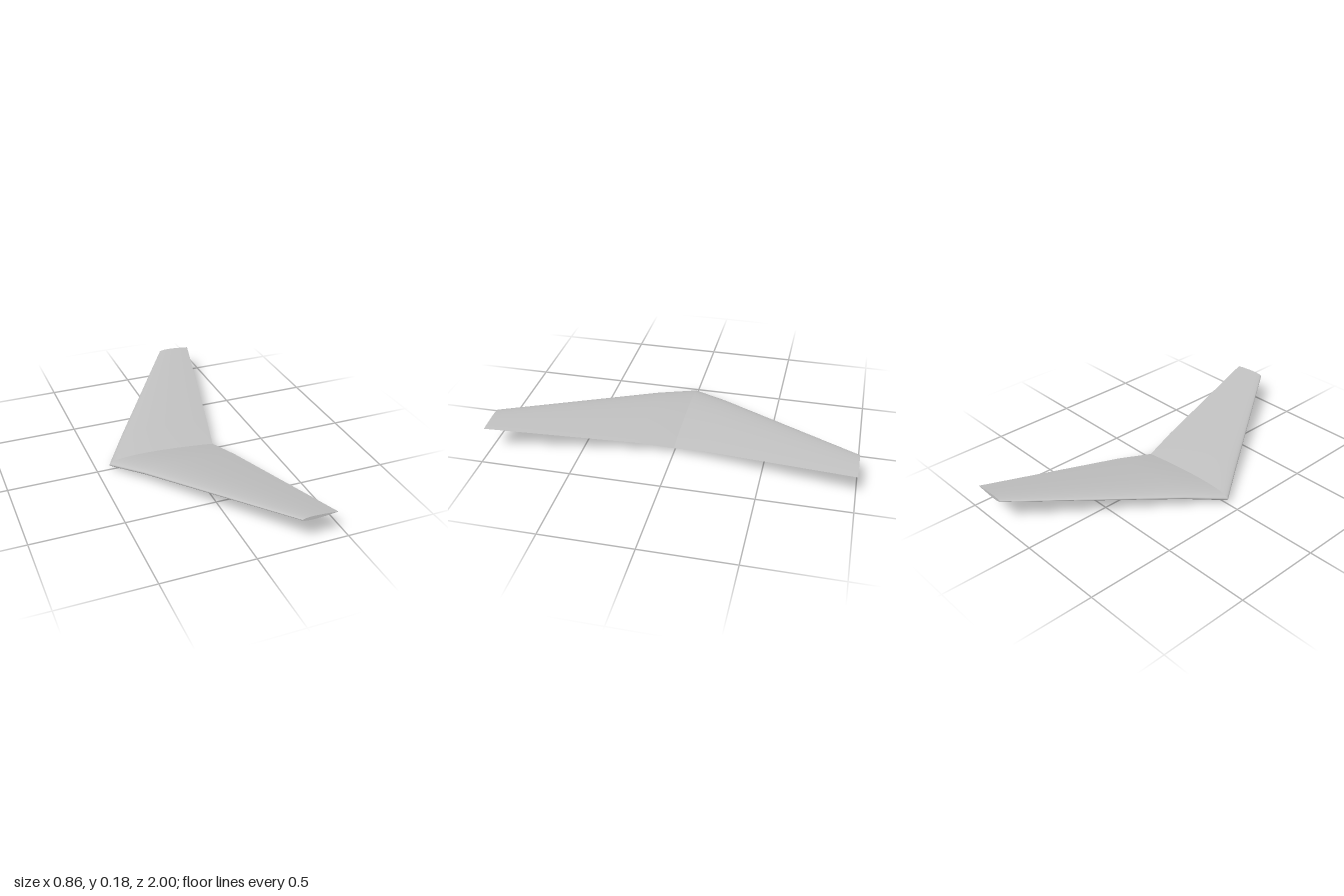
import * as THREE from 'three';

// Spanwise stations of one half: distance from the middle, leading and trailing edge x, mid-height
const STATIONS = [
  { z: 0, lead: -0.43, trail: 0.19, y: 0.031 },
  { z: 0.2, lead: -0.298, trail: 0.237, y: 0.068 },
  { z: 1, lead: 0.23, trail: 0.425, y: 0.167 },
];
const STEPS = 24; // points along each surface of the aerofoil

// Symmetric aerofoil, 10% thick: half-thickness at chord fraction t
const halfThickness = (t) =>
  0.5 * (0.2969 * Math.sqrt(t) - 0.126 * t - 0.3516 * t ** 2 + 0.2843 * t ** 3 - 0.1036 * t ** 4);

// Loop from the trailing edge over the top to the nose and back underneath
function section({ lead, trail, y }) {
  const chord = trail - lead;
  const points = [];
  for (let i = 0; i <= 2 * STEPS; i++) {
    const t = 0.5 + 0.5 * Math.cos((Math.PI * i) / STEPS);
    const side = i <= STEPS ? 1 : -1;
    points.push(new THREE.Vector2(lead + chord * t, y + side * chord * halfThickness(t)));
  }
  return points;
}

// Skin lofted through the stations of one half; sign picks the +z or -z half
function skinGeometry(sign) {
  const stations = sign > 0 ? STATIONS : [...STATIONS].reverse();
  const positions = [];
  const index = [];
  const row = 2 * STEPS + 1;
  stations.forEach((s, j) => {
    section(s).forEach((p, i) => {
      positions.push(p.x, p.y, sign * s.z);
      if (j > 0 && i > 0) {
        const b = j * row + i;
        const a = b - row;
        index.push(a - 1, a, b - 1, a, b, b - 1);
      }
    });
  });
  const geometry = new THREE.BufferGeometry();
  geometry.setAttribute('position', new THREE.Float32BufferAttribute(positions, 3));
  geometry.setIndex(index);
  geometry.computeVertexNormals();
  return geometry;
}

// Flat cap closing the wing tip
function tipGeometry(sign) {
  const tip = STATIONS[STATIONS.length - 1];
  const outline = section(tip).slice(0, -1).map((p) => new THREE.Vector2(sign * p.x, p.y));
  const geometry = new THREE.ShapeGeometry(new THREE.Shape(outline));
  if (sign < 0) geometry.rotateY(Math.PI);
  return geometry.translate(0, 0, sign * tip.z);
}

export function createModel() {
  const model = new THREE.Group();
  model.name = 'sweptWing';
  const grey = new THREE.MeshStandardMaterial({ color: 0xc0c0c0 });
  grey.name = 'lightGrey';

  // Two mirrored halves meeting in a crease along the middle
  for (const [side, sign] of [['front', 1], ['back', -1]]) {
    const half = new THREE.Group();
    half.name = side + 'WingHalf';
    const skin = new THREE.Mesh(skinGeometry(sign), grey);
    skin.name = side + 'WingSkin';
    const cap = new THREE.Mesh(tipGeometry(sign), grey);
    cap.name = side + 'WingTip';
    half.add(skin, cap);
    model.add(half);
  }
  return model;
}
